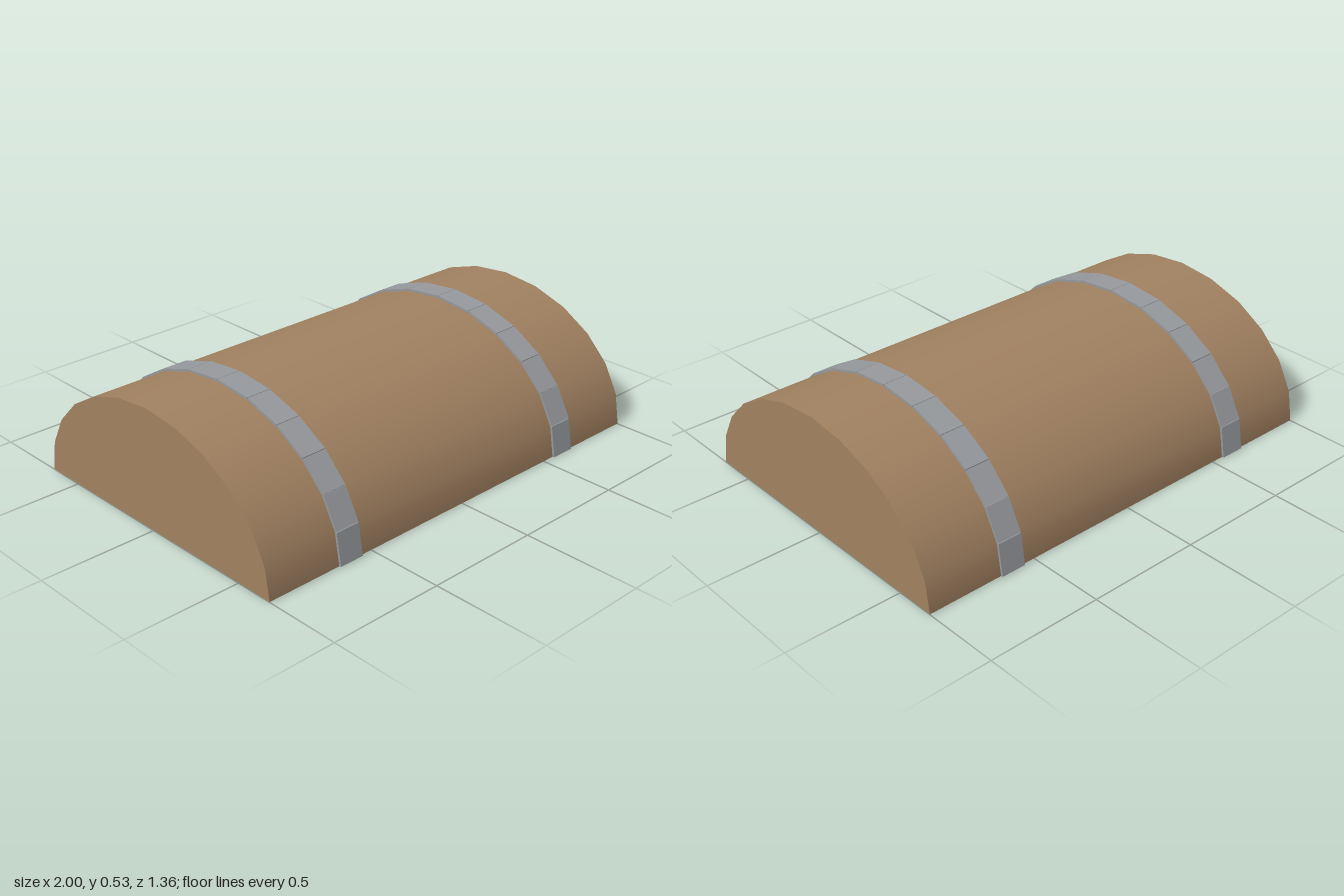
import * as THREE from 'three';

const RY = 0.515, RZ = 0.67, SEGMENTS = 12;

export function createModel() {
  const model = new THREE.Group();
  model.name = 'chestLid';

  const wood = new THREE.MeshStandardMaterial({ color: 0xa08060 });
  wood.name = 'wood brown';
  const metal = new THREE.MeshStandardMaterial({ color: 0x95989c });
  metal.name = 'metal grey';

  // Half-elliptical lid with flat ends, its axis along x
  const lidGeometry = new THREE.CylinderGeometry(1, 1, 2, SEGMENTS, 1, false, 0, Math.PI);
  lidGeometry.rotateZ(Math.PI / 2).scale(1, RY, RZ);
  const lid = new THREE.Mesh(lidGeometry, wood);
  lid.name = 'lid';
  model.add(lid);

  // Flat underside closing the lid
  const underside = new THREE.Mesh(new THREE.PlaneGeometry(2, RZ * 2).rotateX(Math.PI / 2), wood);
  underside.name = 'underside';
  model.add(underside);

  // Two metal bands, each a row of flat plates laid along the lid's facets
  const rim = (i) => {
    const a = (i / SEGMENTS) * Math.PI;
    return new THREE.Vector3(0, Math.sin(a) * RY, Math.cos(a) * RZ);
  };
  for (const side of [1, -1]) {
    const band = new THREE.Group();
    band.name = side > 0 ? 'leftBand' : 'rightBand';
    band.position.x = side * 0.61;
    for (let i = 0; i < SEGMENTS; i++) {
      const a = rim(i), b = rim(i + 1);
      const plate = new THREE.Mesh(new THREE.BoxGeometry(0.11, 0.02, a.distanceTo(b)), metal);
      plate.name = 'bandPlate';
      plate.position.addVectors(a, b).multiplyScalar(0.5);
      plate.rotation.x = Math.atan2(b.y - a.y, a.z - b.z);
      band.add(plate);
    }
    model.add(band);
  }
  return model;
}
